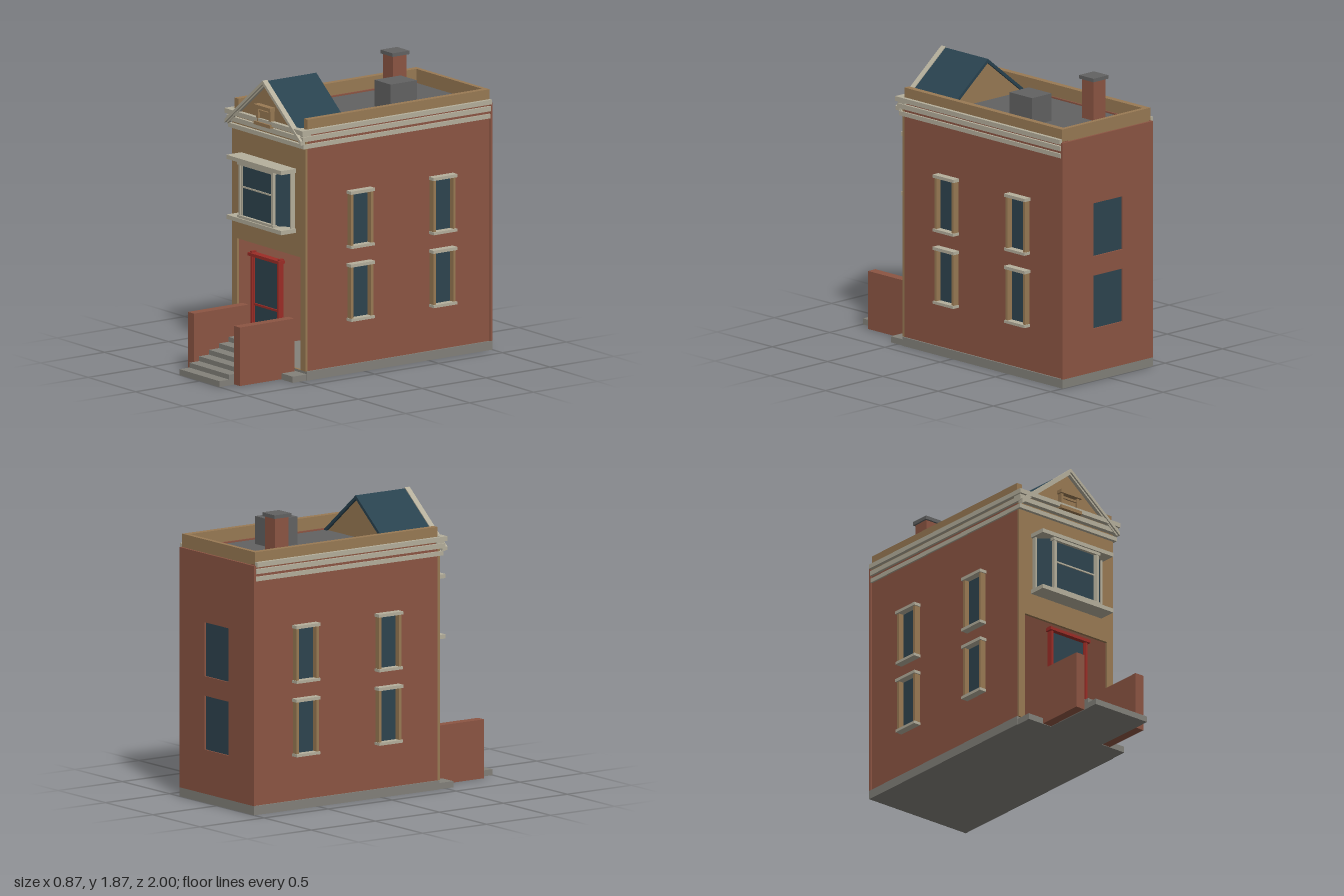
import * as THREE from 'three';

const paint = (name, color) => {
  const m = new THREE.MeshStandardMaterial({ color });
  m.name = name;
  return m;
};

export function createModel() {
  const brick = paint('brick', 0x8c5543);
  const tan = paint('tan stone', 0x997a54);
  const cream = paint('cream trim', 0xb5af9c);
  const stone = paint('grey stone', 0x83817a);
  const red = paint('door red', 0x9c2d27);
  const glass = paint('glass', 0x2e444f);
  const slate = paint('blue slate', 0x29424f);
  const deck = paint('roof grey', 0x626262);

  const model = new THREE.Group();
  model.name = 'townhouse';
  const group = (name) => {
    const g = new THREE.Group();
    g.name = name;
    model.add(g);
    return g;
  };
  const add = (parent, name, mat, geo) => {
    const m = new THREE.Mesh(geo, mat);
    m.name = name;
    parent.add(m);
    return m;
  };
  // Box given by its extents on each axis
  const box = (parent, name, mat, x0, x1, y0, y1, z0, z1) => {
    const m = add(parent, name, mat, new THREE.BoxGeometry(Math.abs(x1 - x0), y1 - y0, z1 - z0));
    m.position.set((x0 + x1) / 2, (y0 + y1) / 2, (z0 + z1) / 2);
    return m;
  };
  const shapeOf = (pts) => new THREE.Shape(pts.map(([x, y]) => new THREE.Vector2(x, y)));
  const rect = (x0, x1, y0, y1) => [[x0, y0], [x1, y0], [x1, y1], [x0, y1]];
  const plate = (parent, name, mat, outline, z0, z1, holes = []) => {
    const s = shapeOf(outline);
    s.holes = holes.map(shapeOf);
    const geo = new THREE.ExtrudeGeometry(s, { depth: z1 - z0, bevelEnabled: false });
    return add(parent, name, mat, geo.translate(0, 0, z0));
  };

  // Base and hollow shell
  const shell = group('shell');
  box(shell, 'base', stone, -0.395, 0.395, 0, 0.058, -1, 0.45);
  box(shell, 'frontBase', stone, -0.39, 0.39, 0, 0.04, 0.45, 0.56);
  for (const s of [-1, 1]) box(shell, 'sideWall', brick, s * 0.335, s * 0.385, 0.058, 1.6, -0.985, 0.44);
  box(shell, 'innerBackWall', brick, -0.335, 0.335, 0.058, 1.55, -0.985, -0.95);
  plate(shell, 'facade', tan, rect(-0.385, 0.385, 0.058, 1.58), 0.44, 0.458,
    [rect(-0.335, 0.335, 0.059, 0.785)]);

  // Back wall with two recessed windows
  const backHoles = [[0.34, 0.685], [0.81, 1.155]].map(([a, b]) => rect(-0.127, 0.127, a, b));
  plate(shell, 'backWall', brick, rect(-0.395, 0.395, 0.058, 1.595), -1, -0.985, backHoles);
  for (const [a, b] of [[0.34, 0.685], [0.81, 1.155]])
    box(shell, 'backWindowGlass', glass, -0.127, 0.127, a, b, -0.99, -0.984);

  // Flat roof and parapets
  const roof = group('roof');
  box(roof, 'roofDeck', deck, -0.35, 0.35, 1.55, 1.59, -0.96, 0.45);
  for (const s of [-1, 1]) box(roof, 'sideParapet', tan, s * 0.345, s * 0.386, 1.58, 1.68, -0.985, 0.44);
  box(roof, 'backParapet', tan, -0.345, 0.345, 1.58, 1.68, -0.985, -0.955);
  box(roof, 'chimney', brick, -0.245, -0.14, 1.59, 1.845, -0.725, -0.62);
  box(roof, 'chimneyCap', deck, -0.257, -0.127, 1.845, 1.868, -0.738, -0.607);
  box(roof, 'roofUnit', deck, 0.048, 0.218, 1.59, 1.768, -0.54, -0.335);

  // Cornice bands on the front and both sides
  const cornice = group('cornice');
  for (const [y0, y1, x, z] of [[1.495, 1.523, 0.397, 0.48], [1.542, 1.573, 0.402, 0.49], [1.587, 1.617, 0.41, 0.5]]) {
    box(cornice, 'frontBand', cream, -x, x, y0, y1, 0.458, z);
    for (const s of [-1, 1]) box(cornice, 'sideBand', cream, s * 0.384, s * x, y0, y1, -0.985, 0.458);
  }
  for (const s of [-1, 1]) box(cornice, 'cornerBlock', cream, s * 0.315, s * 0.4, 1.575, 1.612, 0.425, 0.485);

  // Front gable
  const gable = group('gable');
  const chevron = (top, x, drop, t) => [[0, top], [-x, top - drop], [-x, top - drop - t],
    [0, top - t], [x, top - drop - t], [x, top - drop]];
  plate(gable, 'gableRoof', slate, chevron(1.863, 0.35, 0.28, 0.025), 0.085, 0.48);
  plate(gable, 'gableWall', tan, [[-0.345, 1.565], [0.345, 1.565], [0, 1.84]], 0.1, 0.47);
  plate(gable, 'gableTrim', cream, chevron(1.87, 0.4, 0.32, 0.024), 0.47, 0.507);
  plate(gable, 'gableInnerTrim', cream, chevron(1.85, 0.39, 0.312, 0.018), 0.47, 0.495);
  box(gable, 'ornamentPanel', tan, -0.055, 0.055, 1.615, 1.665, 0.47, 0.485);
  box(gable, 'ornamentHead', tan, -0.085, 0.085, 1.682, 1.705, 0.47, 0.513);
  box(gable, 'ornamentLowerHead', tan, -0.06, 0.06, 1.655, 1.67, 0.47, 0.495);
  box(gable, 'ornamentSill', tan, -0.085, 0.085, 1.575, 1.597, 0.47, 0.513);
  for (const s of [-1, 1]) box(gable, 'ornamentJamb', tan, s * 0.055, s * 0.075, 1.597, 1.682, 0.47, 0.5);

  // Bay window
  const bay = group('bayWindow');
  const plan = shapeOf([[-0.265, -0.455], [-0.265, -0.475], [-0.175, -0.545], [0.175, -0.545], [0.265, -0.475], [0.265, -0.455]]);
  const bayGeo = new THREE.ExtrudeGeometry(plan, { depth: 0.35, bevelEnabled: false });
  add(bay, 'bayGlass', glass, bayGeo.rotateX(-Math.PI / 2).translate(0, 0.97, 0));
  box(bay, 'bayHead', cream, -0.288, 0.288, 1.322, 1.348, 0.455, 0.575);
  box(bay, 'bayHeadMoulding', cream, -0.19, 0.19, 1.303, 1.322, 0.455, 0.565);
  box(bay, 'baySill', cream, -0.288, 0.288, 0.935, 0.962, 0.455, 0.575);
  box(bay, 'baySillMoulding', cream, -0.19, 0.19, 0.962, 0.978, 0.455, 0.565);
  box(bay, 'bayCrossbar', cream, -0.165, 0.165, 1.158, 1.168, 0.54, 0.552);
  for (const s of [-1, 1]) {
    box(bay, 'frontPost', cream, s * 0.163, s * 0.182, 0.962, 1.322, 0.525, 0.56);
    box(bay, 'frontSash', cream, s * 0.152, s * 0.163, 0.978, 1.303, 0.54, 0.552);
    box(bay, 'wallPost', cream, s * 0.262, s * 0.275, 0.962, 1.322, 0.455, 0.487);
  }

  // Side windows
  for (const s of [-1, 1]) for (const z of [0.042, -0.603]) for (const y of [0.342, 0.812]) {
    const w = group('sideWindow');
    box(w, 'sill', cream, s * 0.384, s * 0.435, y, y + 0.018, z - 0.092, z + 0.092);
    box(w, 'lintel', cream, s * 0.384, s * 0.435, y + 0.35, y + 0.37, z - 0.094, z + 0.094);
    box(w, 'glass', glass, s * 0.384, s * 0.389, y + 0.018, y + 0.35, z - 0.07, z + 0.07);
    for (const t of [-1, 1]) {
      const c = z + t * 0.078;
      box(w, 'jamb', tan, s * 0.384, s * 0.425, y + 0.018, y + 0.35, c - 0.009, c + 0.009);
    }
  }

  // Front door
  const door = group('frontDoor');
  plate(door, 'doorFrame', red, rect(-0.145, 0.145, 0.19, 0.715), 0.455, 0.48,
    [rect(-0.126, 0.126, 0.25, 0.395), rect(-0.126, 0.126, 0.408, 0.712)]);
  box(door, 'doorHead', red, -0.162, 0.162, 0.712, 0.732, 0.452, 0.502);
  for (const s of [-1, 1]) {
    box(door, 'doorPost', red, s * 0.132, s * 0.147, 0.19, 0.712, 0.452, 0.49);
    box(door, 'doorHeadEnd', red, s * 0.135, s * 0.155, 0.732, 0.741, 0.455, 0.49);
  }
  box(door, 'doorGlass', glass, -0.126, 0.126, 0.25, 0.712, 0.462, 0.47);

  // Entrance steps between brick cheek walls
  const stoop = group('stoop');
  for (let i = 0; i < 6; i++) {
    const front = 1 - i * 0.077;
    const back = i === 5 ? 0.45 : front - 0.077;
    box(stoop, 'step', stone, -0.21, 0.21, 0, 0.038 + i * 0.031, back, front);
  }
  for (const s of [-1, 1]) box(stoop, 'cheekWall', brick, s * 0.21, s * 0.274, 0.003, 0.38, 0.46, 0.887);

  return model;
}
